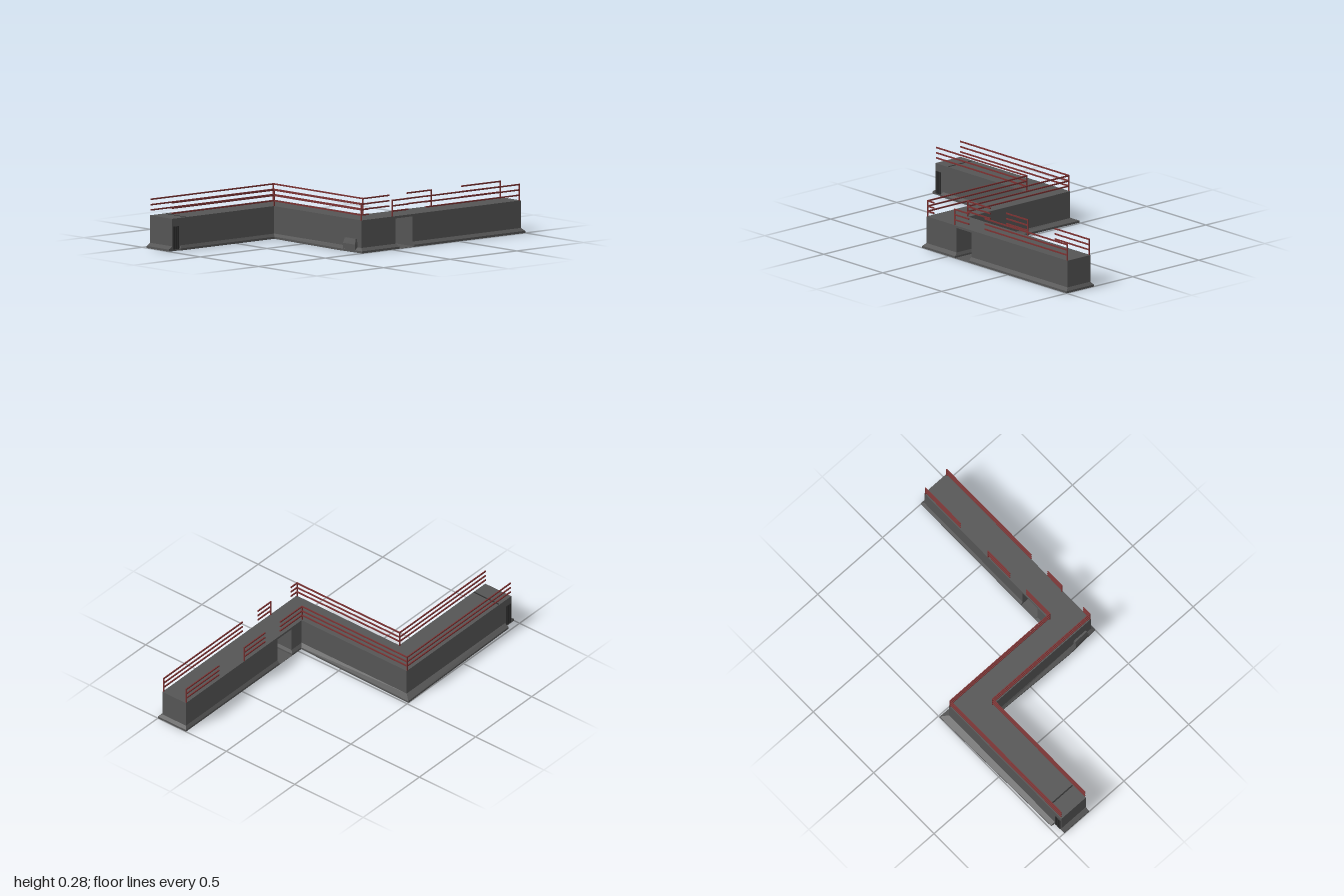
import * as THREE from 'three';

const concrete = new THREE.MeshStandardMaterial({ color: 0x555555, flatShading: true, side: THREE.DoubleSide });
const dark = new THREE.MeshStandardMaterial({ color: 0x2c2c2c });
const red = new THREE.MeshStandardMaterial({ color: 0x7a3232 });

const TOP = 0.185;

// Solid through stacked [x, z] outlines, each at its own height
function loft(name, rings) {
  const pos = [];
  const put = (...pts) => pts.forEach((p) => pos.push(...p));
  const at = (r, i) => {
    const [x, z] = r.pts[i % r.pts.length];
    return [x, r.y, z];
  };
  for (let k = 0; k < rings.length - 1; k++) {
    const a = rings[k], b = rings[k + 1];
    for (let i = 0; i < a.pts.length; i++) {
      put(at(a, i), at(a, i + 1), at(b, i + 1), at(a, i), at(b, i + 1), at(b, i));
    }
  }
  const cap = (r, up) => {
    const flat = r.pts.map(([x, z]) => new THREE.Vector2(x, -z));
    for (const [i, j, k] of THREE.ShapeUtils.triangulateShape(flat, [])) {
      if (up) put(at(r, i), at(r, j), at(r, k));
      else put(at(r, i), at(r, k), at(r, j));
    }
  };
  cap(rings[0], false);
  cap(rings[rings.length - 1], true);
  const geo = new THREE.BufferGeometry();
  geo.setAttribute('position', new THREE.Float32BufferAttribute(pos, 3));
  geo.computeVertexNormals();
  const mesh = new THREE.Mesh(geo, concrete);
  mesh.name = name;
  return mesh;
}

// Box given by its limits on each axis
function box(name, [x0, x1], [y0, y1], [z0, z1], material) {
  const mesh = new THREE.Mesh(new THREE.BoxGeometry(x1 - x0, y1 - y0, z1 - z0), material);
  mesh.position.set((x0 + x1) / 2, (y0 + y1) / 2, (z0 + z1) / 2);
  mesh.name = name;
  return mesh;
}

// Wall with a sloped skirt around its foot
function wallSection(name, foot, wall) {
  const g = new THREE.Group();
  g.name = name;
  g.add(loft('skirt', [{ y: 0, pts: foot }, { y: 0.012, pts: foot }, { y: 0.028, pts: wall }]));
  g.add(loft('wall', [{ y: 0.028, pts: wall }, { y: TOP, pts: wall }]));
  return g;
}

// Three rails between two [x, z] points
function railing(a, b) {
  const g = new THREE.Group();
  g.name = 'railing';
  const t = 0.003;
  for (const y of [0.215, 0.245, 0.276]) {
    g.add(box('rail', [Math.min(a[0], b[0]) - t, Math.max(a[0], b[0]) + t], [y - 0.004, y + 0.004],
      [Math.min(a[1], b[1]) - t, Math.max(a[1], b[1]) + t], red));
  }
  return g;
}

export function createModel() {
  const model = new THREE.Group();
  model.name = 'rampartWalkway';

  // Front leg, cross leg and the start of the back leg
  model.add(wallSection('mainWall',
    [[-0.46, 1], [-0.27, 1], [-0.27, 0.92], [-0.26, 0.92], [-0.258, 0.22], [0.3, 0.235], [0.5, 0.225],
      [0.5, -0.055], [0.295, -0.055], [0.295, 0.025], [-0.5, 0.01], [-0.485, 0.92], [-0.46, 0.92]],
    [[-0.46, 0.975], [-0.27, 0.975], [-0.27, 0.92], [-0.27, 0.91], [-0.27, 0.21], [0.3, 0.21], [0.48, 0.21],
      [0.48, -0.045], [0.308, -0.045], [0.308, 0.045], [-0.46, 0.045], [-0.46, 0.91], [-0.46, 0.92]]));

  // Far end of the back leg
  model.add(wallSection('backWall',
    [[0.295, -0.17], [0.5, -0.17], [0.5, -1], [0.295, -1]],
    [[0.308, -0.17], [0.48, -0.17], [0.48, -0.985], [0.308, -0.985]]));

  // Passage through the back leg: bridge deck above, thin floor below
  model.add(box('bridgeDeck', [0.308, 0.48], [0.172, TOP], [-0.17, -0.045], concrete));
  model.add(box('passageFloor', [0.295, 0.5], [0, 0.002], [-0.17, -0.055], concrete));

  // Raised block on the skirt of the cross leg
  const block = [[0.345, 0.205], [0.345, 0.232], [0.445, 0.229], [0.445, 0.205]];
  const blockTop = [[0.35, 0.205], [0.35, 0.222], [0.44, 0.22], [0.44, 0.205]];
  model.add(loft('skirtBlock', [{ y: 0.005, pts: block }, { y: 0.045, pts: block }, { y: 0.075, pts: blockTop }]));

  // Side grilles near the front end
  for (const x of [-0.46, -0.27]) {
    for (const z of [0.933, 0.948, 0.963]) {
      model.add(box('grilleBar', [x - 0.004, x + 0.004], [0.01, 0.14], [z - 0.005, z + 0.005], dark));
    }
  }
  model.add(box('deckJoint', [-0.455, -0.275], [TOP - 0.005, TOP + 0.001], [0.866, 0.874], dark));

  // Railings, with openings beside the bridge
  const L = -0.457, M = -0.275, I = 0.311, R = 0.475;
  const runs = [
    [[L, 0.97], [L, 0.052]], [[L, 0.052], [I, 0.052]],
    [[M, 0.97], [M, 0.207]], [[M, 0.207], [R, 0.207]],
    [[I, 0.052], [I, -0.14]], [[I, -0.28], [I, -0.46]], [[I, -0.69], [I, -0.978]],
    [[R, 0.207], [R, 0.155]], [[R, -0.025], [R, -0.14]], [[R, -0.28], [R, -0.978]],
  ];
  for (const [a, b] of runs) model.add(railing(a, b));

  // Posts at corners and ends
  const posts = [[L, 0.052], [M, 0.207], [I, 0.052], [R, 0.207], [R, -0.025], [I, -0.46], [I, -0.978], [R, -0.978]];
  for (const [x, z] of posts) {
    model.add(box('post', [x - 0.003, x + 0.003], [TOP - 0.003, 0.28], [z - 0.003, z + 0.003], red));
  }
  return model;
}
